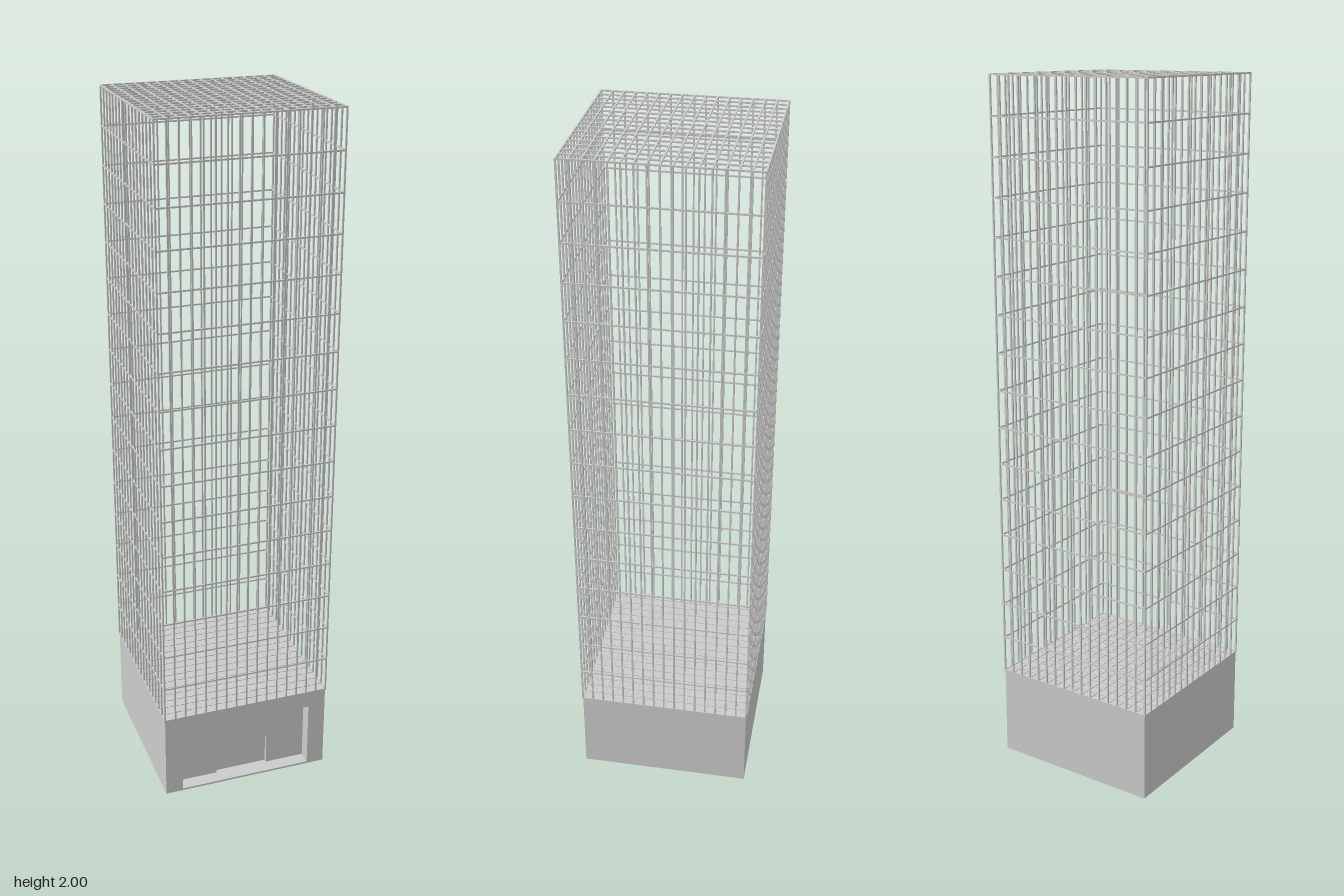
import * as THREE from 'three';
import { mergeGeometries } from 'three/addons/utils/BufferGeometryUtils.js';

const HALF = 0.2525;   // half width of the block
const BASE_H = 0.2625; // height of the block
const WIRE = 0.0045;   // wire thickness
const CELLS = 16;      // cage cells along every edge
const LIP = 0.006;     // sill height in the openings

const material = new THREE.MeshStandardMaterial({ color: 0xcccccc });

function bar(w, h, d, x, y, z) {
  return new THREE.BoxGeometry(w, h, d).translate(x, y, z);
}

function addMesh(parent, name, geometry) {
  const mesh = new THREE.Mesh(geometry, material);
  mesh.name = name;
  parent.add(mesh);
}

// Wall slab with a rectangular opening standing on the sill
function wallWithOpening(halfOpening, top, z, depth) {
  const shape = new THREE.Shape([
    new THREE.Vector2(-HALF, 0), new THREE.Vector2(HALF, 0),
    new THREE.Vector2(HALF, BASE_H), new THREE.Vector2(-HALF, BASE_H),
  ]);
  shape.holes.push(new THREE.Path([
    new THREE.Vector2(-halfOpening, LIP), new THREE.Vector2(-halfOpening, top),
    new THREE.Vector2(halfOpening, top), new THREE.Vector2(halfOpening, LIP),
  ]));
  return new THREE.ExtrudeGeometry(shape, { depth, bevelEnabled: false }).translate(0, 0, z);
}

export function createModel() {
  const model = new THREE.Group();
  model.name = 'wireTower';

  // Solid block with an entrance recess and a shallow door in it
  const base = new THREE.Group();
  base.name = 'base';
  model.add(base);
  const doorZ = HALF - 0.05, recessZ = HALF - 0.04;
  addMesh(base, 'block', bar(2 * HALF, BASE_H, doorZ + HALF, 0, BASE_H / 2, (doorZ - HALF) / 2));
  addMesh(base, 'doorSurround', wallWithOpening(0.08, 0.1, doorZ, recessZ - doorZ));
  addMesh(base, 'entranceFrame', wallWithOpening(0.2, 0.21, recessZ, HALF - recessZ));

  // Wire cage: wires run along the centre lines of a subdivided box
  const cage = new THREE.Group();
  cage.name = 'cage';
  model.add(cage);
  const top = 2 - WIRE / 2, height = top - BASE_H;
  const across = (i) => HALF * (2 * i / CELLS - 1);
  const length = 2 * HALF + WIRE;

  // Uprights on all four sides
  const uprights = [];
  for (let i = 0; i < CELLS; i++) {
    const a = across(i), y = BASE_H + height / 2;
    for (const [x, z] of [[a, -HALF], [HALF, a], [-a, HALF], [-HALF, -a]]) {
      uprights.push(bar(WIRE, height + WIRE, WIRE, x, y, z));
    }
  }
  addMesh(cage, 'uprights', mergeGeometries(uprights));

  // Horizontal rings between the floor and roof grids
  const rings = [];
  for (let i = 1; i < CELLS; i++) {
    const y = BASE_H + height * i / CELLS;
    for (const s of [-HALF, HALF]) {
      rings.push(bar(length, WIRE, WIRE, 0, y, s), bar(WIRE, WIRE, length, s, y, 0));
    }
  }
  addMesh(cage, 'rings', mergeGeometries(rings));

  // Floor and roof grids
  for (const [name, y] of [['floorGrid', BASE_H], ['roofGrid', top]]) {
    const wires = [];
    for (let i = 0; i <= CELLS; i++) {
      const a = across(i);
      wires.push(bar(length, WIRE, WIRE, 0, y, a), bar(WIRE, WIRE, length, a, y, 0));
    }
    addMesh(cage, name, mergeGeometries(wires));
  }
  return model;
}
